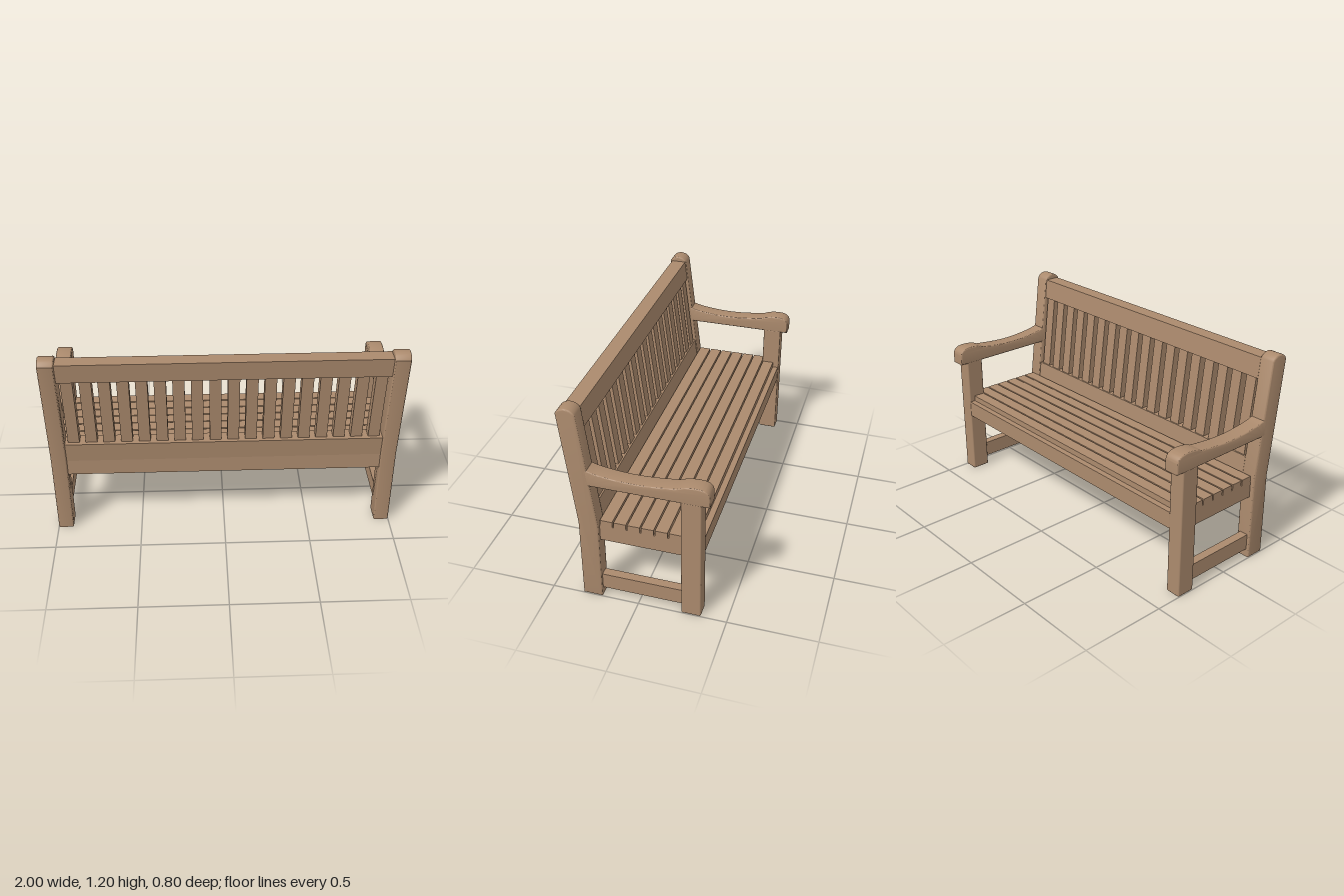
import * as THREE from 'three';
import { toCreasedNormals } from 'three/addons/utils/BufferGeometryUtils.js';
import { RoundedBoxGeometry } from 'three/addons/geometries/RoundedBoxGeometry.js';

const wood = new THREE.MeshStandardMaterial({ color: 0xab8a6d });
wood.name = 'wood';

// Lines of the leaning back: front and rear faces of the posts at height y
const frontZ = (y) => 0.21 + Math.max(0, y - 0.49) * 0.123;
const rearZ = (y) => 0.32 + Math.max(0, y - 0.5) * 0.119;

function add(group, geometry, name, x = 0, y = 0, z = 0) {
  const mesh = new THREE.Mesh(geometry, wood);
  mesh.name = name;
  mesh.position.set(x, y, z);
  group.add(mesh);
}

// Side profile drawn in (z, y), given a width along x with a softened edge
function profile(shape, width, bevel) {
  const geo = new THREE.ExtrudeGeometry(shape, {
    depth: width - 2 * bevel, curveSegments: 10, bevelEnabled: bevel > 0,
    bevelSize: bevel, bevelThickness: bevel, bevelOffset: -bevel, bevelSegments: 3,
  });
  geo.translate(0, 0, -(width / 2 - bevel));
  geo.rotateY(-Math.PI / 2);
  return toCreasedNormals(geo, 0.6);
}

// Board lying between two heights of the leaning back
function leaningBoard(y0, y1, frontInset, rearInset, width) {
  const shape = new THREE.Shape();
  shape.moveTo(frontZ(y0) + frontInset, y0);
  shape.lineTo(rearZ(y0) - rearInset, y0);
  shape.lineTo(rearZ(y1) - rearInset, y1);
  shape.lineTo(frontZ(y1) + frontInset, y1);
  shape.closePath();
  return profile(shape, width, 0);
}

// Box given by its limits in y and z
function bar(group, name, x, width, y0, y1, z0, z1) {
  add(group, new THREE.BoxGeometry(width, y1 - y0, z1 - z0), name, x, (y0 + y1) / 2, (z0 + z1) / 2);
}

function backPostShape() {
  const s = new THREE.Shape();
  s.moveTo(0.21, 0);
  s.lineTo(0.32, 0);
  s.lineTo(0.32, 0.5);
  s.lineTo(0.4, 1.172);
  s.bezierCurveTo(0.38, 1.215, 0.315, 1.215, 0.294, 1.175);
  s.lineTo(0.21, 0.49);
  s.closePath();
  return s;
}

function armShape() {
  const s = new THREE.Shape();
  s.moveTo(-0.398, 0.755);
  s.lineTo(0.27, 0.755);
  s.lineTo(0.27, 0.855);
  s.splineThru([[0.245, 0.846], [0.2, 0.835], [0.1, 0.823], [0, 0.819], [-0.1, 0.824], [-0.225, 0.838]]
    .map(([z, y]) => new THREE.Vector2(z, y)));
  s.bezierCurveTo(-0.26, 0.858, -0.32, 0.865, -0.362, 0.856);
  s.bezierCurveTo(-0.385, 0.85, -0.398, 0.832, -0.398, 0.81);
  s.closePath();
  return s;
}

export function createModel() {
  const bench = new THREE.Group();
  bench.name = 'bench';

  // End frames: back post, front leg, armrest and low stretcher
  const postGeo = profile(backPostShape(), 0.09, 0.008);
  const armGeo = profile(armShape(), 0.09, 0.006);
  const legGeo = new RoundedBoxGeometry(0.09, 0.762, 0.11, 3, 0.008);
  for (const side of [1, -1]) {
    const frame = new THREE.Group();
    frame.name = side > 0 ? 'leftFrame' : 'rightFrame';
    const x = side * 0.955;
    add(frame, postGeo, 'backPost', x);
    add(frame, armGeo, 'armrest', x);
    add(frame, legGeo, 'frontLeg', x, 0.381, -0.3);
    bar(frame, 'stretcher', x, 0.05, 0.05, 0.145, -0.26, 0.23);
    bench.add(frame);
  }

  // Seat base and its lengthwise slats
  bar(bench, 'seatBase', 0, 1.95, 0.39, 0.487, -0.352, 0.307);
  for (let i = 0; i < 7; i++) {
    const z1 = 0.207 - i * 0.0762;
    bar(bench, 'seatSlat', 0, 1.95, 0.484, 0.521, z1 - 0.068, z1);
  }

  // Backrest rails and upright slats
  add(bench, leaningBoard(0.487, 0.61, 0.005, 0.013, 1.84), 'lowerBackRail');
  add(bench, leaningBoard(1.057, 1.175, 0.006, 0.014, 1.84), 'topBackRail');
  const slatGeo = leaningBoard(0.6, 1.07, 0.014, 0.036, 0.066);
  for (let i = 0; i < 18; i++) add(bench, slatGeo, 'backSlat', -0.86 + i * 0.1012);

  return bench;
}
